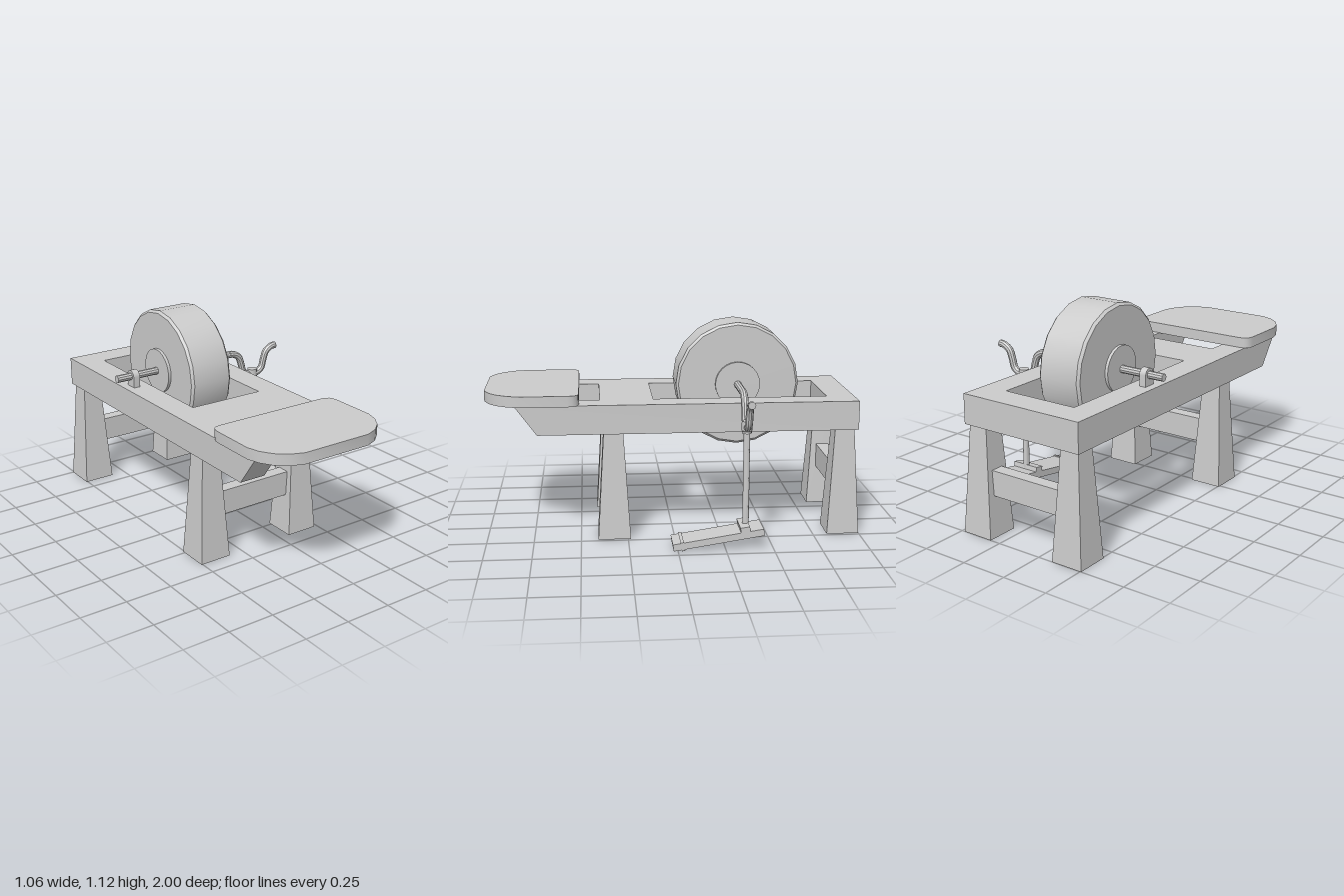
import * as THREE from 'three';
import { toCreasedNormals } from 'three/addons/utils/BufferGeometryUtils.js';

const material = new THREE.MeshStandardMaterial({ color: 0xcccccc });
const AXLE_Y = 0.787, AXLE_Z = -0.36, MID_X = -0.137;

export function createModel() {
  const model = new THREE.Group();
  model.name = 'treadleGrindstone';

  function add(name, geometry, x = 0, y = 0, z = 0, parent = model) {
    const mesh = new THREE.Mesh(toCreasedNormals(geometry, 0.6), material);
    mesh.name = name;
    mesh.position.set(x, y, z);
    parent.add(mesh);
    return mesh;
  }
  const box = (w, h, d) => new THREE.BoxGeometry(w, h, d);
  const v2 = (pairs) => pairs.map(([a, b]) => new THREE.Vector2(a, b));

  // Side rails with slanted front ends, drawn in side profile (z, y)
  const railShape = new THREE.Shape(v2([[-0.985, 0.574], [0.72, 0.574], [0.835, 0.73], [-0.985, 0.73]]));
  for (const side of [-1, 1]) {
    const rail = new THREE.ExtrudeGeometry(railShape, { depth: 0.14, bevelEnabled: false });
    rail.rotateY(-Math.PI / 2);
    add(side < 0 ? 'rightRail' : 'leftRail', rail, MID_X + side * 0.28 + 0.07);
  }

  // Cross beams between the rails
  add('backBeam', box(0.42, 0.156, 0.15), MID_X, 0.652, -0.91);
  add('middleBeam', box(0.42, 0.156, 0.285), MID_X, 0.652, 0.2475);

  // Tapered square legs and a stretcher for each pair
  for (const [end, z] of [['front', 0.322], ['back', -0.913]]) {
    for (const side of [-1, 1]) {
      const leg = new THREE.CylinderGeometry(0.052 * Math.SQRT2, 0.087 * Math.SQRT2, 0.574, 4);
      leg.rotateY(Math.PI / 4);
      add(end + (side < 0 ? 'RightLeg' : 'LeftLeg'), leg, MID_X + side * 0.282, 0.287, z);
    }
    add(end + 'Stretcher', box(0.45, 0.133, 0.07), MID_X, 0.2835, z);
  }

  // Seat board with broad front curves and small rear corners (x, z)
  const seatShape = new THREE.Shape();
  seatShape.moveTo(-0.315, 0.5);
  seatShape.lineTo(0.315, 0.5);
  seatShape.quadraticCurveTo(0.37, 0.5, 0.37, 0.56);
  seatShape.lineTo(0.37, 0.8);
  seatShape.bezierCurveTo(0.36, 0.89, 0.29, 0.98, 0.19, 1);
  seatShape.lineTo(-0.19, 1);
  seatShape.bezierCurveTo(-0.29, 0.98, -0.36, 0.89, -0.37, 0.8);
  seatShape.lineTo(-0.37, 0.56);
  seatShape.quadraticCurveTo(-0.37, 0.5, -0.315, 0.5);
  const seat = new THREE.ExtrudeGeometry(seatShape, { depth: 0.058, bevelEnabled: false, curveSegments: 4 });
  seat.rotateX(Math.PI / 2);
  add('seat', seat, MID_X, 0.786, 0);

  // Grinding wheel with bevelled rims, and its hub
  const wheel = new THREE.LatheGeometry(v2([
    [0, -0.124], [0.322, -0.124], [0.335, -0.111], [0.335, 0.111], [0.322, 0.124], [0, 0.124],
  ]), 20);
  wheel.rotateZ(Math.PI / 2);
  add('grindstone', wheel, -0.138, AXLE_Y, AXLE_Z);
  const hub = new THREE.CylinderGeometry(0.122, 0.122, 0.281, 24);
  hub.rotateZ(Math.PI / 2);
  add('hub', hub, -0.138, AXLE_Y, AXLE_Z);

  // Straight axle running into a U-shaped crank, mirrored about the rod
  const CRANK_X = 0.37;
  const half = [[-0.135, 0.784], [-0.098, 0.76], [-0.08, 0.715], [-0.065, 0.667], [-0.035, 0.645]];
  const points = [
    [-0.165, AXLE_Y], ...half, [0, 0.64],
    ...half.map(([x, y]) => [-x, y]).reverse(), [0.16, AXLE_Y],
  ].map(([x, y]) => new THREE.Vector3(CRANK_X + x, y, AXLE_Z));
  add('crank', new THREE.TubeGeometry(new THREE.CatmullRomCurve3(points), 48, 0.02, 10));
  const axle = new THREE.CylinderGeometry(0.02, 0.02, 0.735, 10);
  axle.rotateZ(Math.PI / 2);
  add('axle', axle, -0.1625, AXLE_Y, AXLE_Z);
  const cap = new THREE.CylinderGeometry(0.02, 0.02, 0.004, 10);
  cap.rotateZ(Math.PI / 2);
  add('crankEnd', cap, 0.53, AXLE_Y, AXLE_Z);

  // Arched bearing clip on the right rail
  const clipShape = new THREE.Shape();
  clipShape.moveTo(-0.034, 0.73);
  clipShape.lineTo(0.034, 0.73);
  clipShape.lineTo(0.034, AXLE_Y);
  clipShape.absarc(0, AXLE_Y, 0.034, 0, Math.PI);
  const clip = new THREE.ExtrudeGeometry(clipShape, { depth: 0.037, bevelEnabled: false, curveSegments: 8 });
  clip.rotateY(-Math.PI / 2);
  add('bearingClip', clip, -0.407, 0, AXLE_Z);

  // Connecting rod with a collar around the crank
  add('connectingRod', new THREE.CylinderGeometry(0.017, 0.017, 0.53, 12), CRANK_X, 0.355, AXLE_Z);
  add('rodCollar', new THREE.LatheGeometry(v2([
    [0, 0.607], [0.025, 0.607], [0.025, 0.618], [0.028, 0.622], [0.028, 0.672], [0, 0.672],
  ]), 12), CRANK_X, 0, AXLE_Z);

  // Tilted treadle with a toe strip and a rod bracket
  const treadle = new THREE.Group();
  treadle.name = 'treadle';
  treadle.position.set(0.367, 0.056, -0.212);
  treadle.rotation.x = 0.155;
  model.add(treadle);
  add('treadleBoard', box(0.158, 0.036, 0.48), 0, 0, 0, treadle);
  add('toeStrip', box(0.168, 0.046, 0.017), 0, 0, 0.19, treadle);
  add('rodBracket', box(0.158, 0.028, 0.05), 0, 0.03, -0.145, treadle);

  return model;
}
